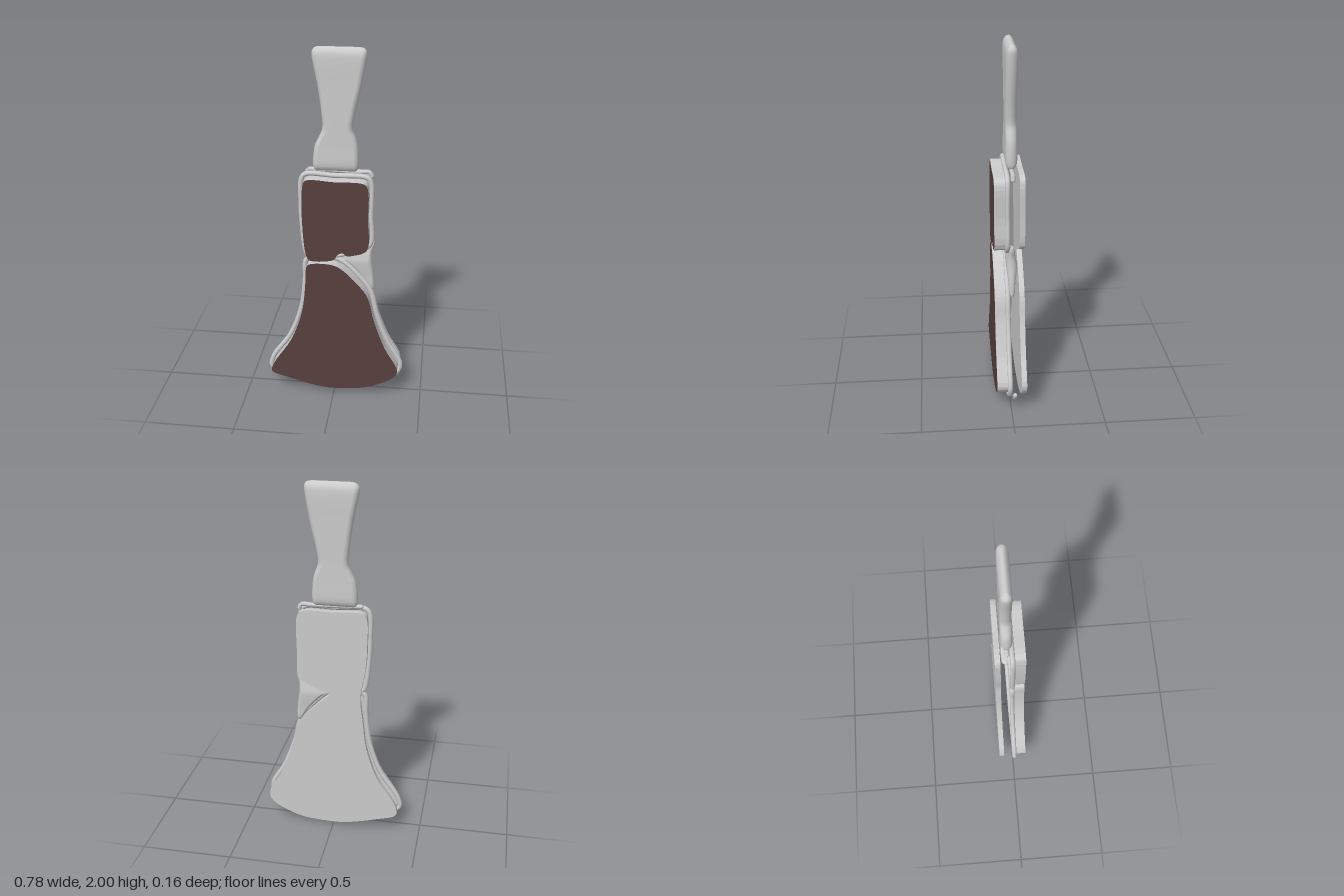
import * as THREE from 'three';

const grey = new THREE.MeshStandardMaterial({ color: 0xcccccc });
grey.name = 'light grey';
const brown = new THREE.MeshStandardMaterial({ color: 0x573f3d });
brown.name = 'dark brown';

// Outlines of the two inlay panels, clockwise from the upper left
const upperPanel = [
  [-0.165, 1.285], [-0.15, 1.31], [0, 1.308], [0.16, 1.303], [0.18, 1.28], [0.184, 1.1], [0.18, 0.92],
  [0.1, 0.885], [0.07, 0.882], [0.05, 0.897], [0.02, 0.885], [0, 0.855], [-0.13, 0.843], [-0.148, 0.862], [-0.17, 1.05],
];
const lowerPanel = [
  [-0.152, 0.8], [-0.135, 0.82], [-0.01, 0.823], [0.04, 0.8], [0.125, 0.72], [0.188, 0.635], [0.225, 0.49],
  [0.29, 0.315], [0.365, 0.17], [0.345, 0.125], [0.2, 0.05], [0.06, 0.028], [-0.07, 0.03], [-0.26, 0.077],
  [-0.362, 0.115], [-0.35, 0.167], [-0.245, 0.335], [-0.18, 0.52], [-0.158, 0.705],
];
// Centre lines of the rims around them
const upperRim = [
  [-0.182, 1.295], [-0.16, 1.322], [0, 1.32], [0.17, 1.315], [0.19, 1.29], [0.194, 1.1], [0.19, 0.925],
  [0.09, 0.875], [-0.02, 0.845], [-0.14, 0.835], [-0.16, 0.855], [-0.183, 1.03], [-0.187, 1.15],
];
const lowerRim = [
  [-0.165, 0.81], [-0.14, 0.833], [-0.005, 0.836], [0.05, 0.812], [0.135, 0.73], [0.2, 0.64], [0.238, 0.49],
  [0.302, 0.32], [0.378, 0.175], [0.355, 0.115], [0.2, 0.036], [0.06, 0.015], [-0.07, 0.017], [-0.26, 0.063],
  [-0.373, 0.105], [-0.365, 0.17], [-0.258, 0.335], [-0.193, 0.52], [-0.17, 0.705],
];
// One backing plate covers both halves, notched at the right of the waist
const backing = [
  [-0.18, 1.3], [-0.155, 1.327], [0, 1.325], [0.17, 1.32], [0.192, 1.295], [0.197, 1.1], [0.192, 0.94], [0.175, 0.917],
  [0.09, 0.872], [0.02, 0.842], [0.05, 0.812], [0.135, 0.73], [0.2, 0.64], [0.236, 0.49], [0.3, 0.32], [0.375, 0.175],
  [0.352, 0.115], [0.2, 0.038], [0.06, 0.02], [-0.07, 0.022], [-0.26, 0.067], [-0.366, 0.107], [-0.36, 0.167],
  [-0.254, 0.335], [-0.19, 0.52], [-0.165, 0.705], [-0.152, 0.835], [-0.18, 1.03], [-0.185, 1.15],
];

const curve = (pts, closed, z = 0) =>
  new THREE.CatmullRomCurve3(pts.map(([x, y]) => new THREE.Vector3(x, y, z)), closed, 'centripetal');

const outline = (pts) =>
  new THREE.Shape(curve(pts, true).getPoints(pts.length * 5).slice(0, -1).map((p) => new THREE.Vector2(p.x, p.y)));

function add(group, name, geometry, material = grey) {
  const mesh = new THREE.Mesh(geometry, material);
  mesh.name = name;
  group.add(mesh);
  return mesh;
}

// Flat plate between two depths
function plate(group, name, pts, z0, z1) {
  const geo = new THREE.ExtrudeGeometry(outline(pts), { depth: z1 - z0, bevelEnabled: false });
  add(group, name, geo.translate(0, 0, z0));
}

// Round rod with ball ends
function rod(group, name, pts, z, r) {
  add(group, name, new THREE.TubeGeometry(curve(pts, false, z), 24, r, 10, false));
  for (const [x, y] of [pts[0], pts[pts.length - 1]]) {
    add(group, name + 'End', new THREE.SphereGeometry(r, 12, 8).translate(x, y, z));
  }
}

// Soft body lofted from rows of [y, left x, right x, half depth]
function softBody(rows, zc) {
  const n = 32, steps = 6, pos = [], idx = [];
  const path = (k) => new THREE.CatmullRomCurve3(
    rows.map((r) => new THREE.Vector3(r[k], r[0], r[3])), false, 'centripetal');
  const left = path(1).getPoints((rows.length - 1) * steps);
  const right = path(2).getPoints((rows.length - 1) * steps);
  left.forEach((l, i) => {
    const r = right[i], half = (r.x - l.x) / 2, mid = (r.x + l.x) / 2;
    const rad = Math.max(0.001, Math.min(half, (l.z + r.z) / 2));
    for (let j = 0; j < n; j++) {
      const a = ((j + 0.5) / n) * Math.PI * 2, c = Math.cos(a);
      pos.push(mid + Math.sign(c) * (half - rad) + c * rad, (l.y + r.y) / 2, zc + Math.sin(a) * rad);
    }
  });
  const last = left.length - 1;
  for (let i = 0; i < last; i++) {
    for (let j = 0; j < n; j++) {
      const a = i * n + j, b = i * n + ((j + 1) % n);
      idx.push(a, a + n, b, b, a + n, b + n);
    }
  }
  // End caps
  for (let j = 1; j < n - 1; j++) {
    idx.push(0, j, j + 1);
    idx.push(last * n, last * n + j + 1, last * n + j);
  }
  const geo = new THREE.BufferGeometry();
  geo.setAttribute('position', new THREE.Float32BufferAttribute(pos, 3));
  geo.setIndex(idx);
  geo.computeVertexNormals();
  return geo;
}

export function createModel() {
  const group = new THREE.Group();
  group.name = 'model';

  // Handle
  add(group, 'handle', softBody([
    [1.338, -0.1, 0.1, 0.006], [1.346, -0.116, 0.115, 0.018], [1.37, -0.122, 0.122, 0.029],
    [1.475, -0.112, 0.118, 0.03], [1.52, -0.092, 0.107, 0.03], [1.57, -0.072, 0.09, 0.03],
    [1.65, -0.076, 0.1, 0.03], [1.79, -0.094, 0.131, 0.03], [1.95, -0.124, 0.158, 0.03],
    [1.975, -0.123, 0.158, 0.025], [1.992, -0.11, 0.148, 0.014], [1.999, -0.09, 0.125, 0.004],
  ], -0.018));

  // Panels: thick grey blocks with brown front faces
  for (const [name, pts] of [['upperPanel', upperPanel], ['lowerPanel', lowerPanel]]) {
    plate(group, name, pts, 0.02, 0.079);
    add(group, name + 'Face', new THREE.ShapeGeometry(outline(pts), 1).translate(0, 0, 0.08), brown);
  }

  // Rounded rims behind the panels
  for (const [name, pts] of [['upperRim', upperRim], ['lowerRim', lowerRim]]) {
    add(group, name, new THREE.TubeGeometry(curve(pts, true, 0.009), 200, 0.0135, 10, true));
  }

  // Backing plate
  plate(group, 'backingPlate', backing, -0.083, -0.054);

  // Soft web filling the notch at the waist
  add(group, 'waistWeb', softBody([
    [0.642, 0.198, 0.212, 0.006], [0.66, 0.185, 0.216, 0.013], [0.72, 0.148, 0.214, 0.018],
    [0.79, 0.085, 0.206, 0.026], [0.82, 0.045, 0.203, 0.028], [0.843, -0.02, 0.202, 0.025],
    [0.862, 0.06, 0.202, 0.022], [0.885, 0.125, 0.205, 0.018], [0.915, 0.175, 0.213, 0.014],
    [0.935, 0.2, 0.214, 0.006],
  ], -0.014));
  rod(group, 'waistKnot', [[0.03, 0.88], [0.065, 0.888]], 0.0, 0.013);

  // Small rods at the collar and the lower corner
  rod(group, 'collarRod', [[-0.14, 1.342], [0, 1.338], [0.12, 1.335], [0.185, 1.335], [0.193, 1.315]], -0.018, 0.012);
  rod(group, 'cornerRod', [[0.335, 0.086], [0.355, 0.092], [0.37, 0.115]], -0.018, 0.012);

  return group;
}
